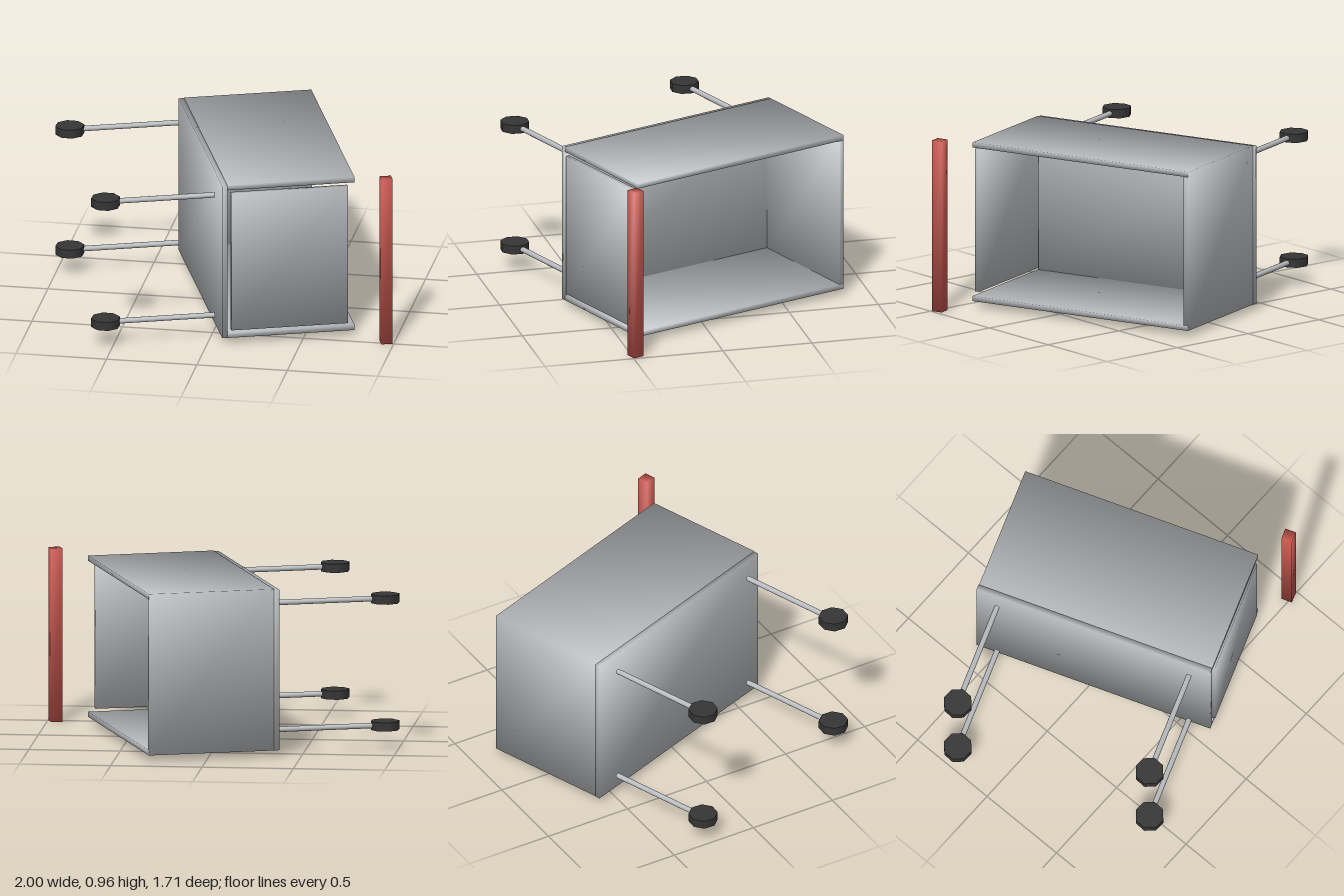
import * as THREE from 'three';

export function createModel() {
  const model = new THREE.Group();
  model.name = 'tippedCart';
  model.rotation.y = THREE.MathUtils.degToRad(20);

  const material = (name, color) => {
    const m = new THREE.MeshStandardMaterial({ color });
    m.name = name;
    return m;
  };
  const metal = material('light grey metal', 0xbabdc0);
  const rubber = material('dark rubber', 0x363636);
  const red = material('red handle', 0xc9574f);

  const add = (name, geometry, mat, x, y, z) => {
    const mesh = new THREE.Mesh(geometry, mat);
    mesh.name = name;
    mesh.position.set(x, y, z);
    model.add(mesh);
    return mesh;
  };

  // Box between two corners, with normals averaged at the corners for soft shading
  const softBox = (name, mat, x0, x1, y0, y1, z0, z1) => {
    const g = new THREE.BoxGeometry(x1 - x0, y1 - y0, z1 - z0);
    const p = g.attributes.position;
    const n = new THREE.Vector3();
    for (let i = 0; i < p.count; i++) {
      n.set(Math.sign(p.getX(i)), Math.sign(p.getY(i)), Math.sign(p.getZ(i))).normalize();
      g.attributes.normal.setXYZ(i, n.x, n.y, n.z);
    }
    return add(name, g, mat, (x0 + x1) / 2, (y0 + y1) / 2, (z0 + z1) / 2);
  };

  // Tray: floor, two long sides, and two end panels
  softBox('trayFloor', metal, -0.152, -0.123, 0.037, 0.922, -0.703, 0.658);
  softBox('upperSide', metal, -0.123, 0.58, 0.897, 0.926, -0.699, 0.658);
  softBox('lowerSide', metal, -0.123, 0.58, 0.036, 0.065, -0.699, 0.658);
  softBox('backPanel', metal, -0.123, 0.579, 0.038, 0.924, -0.7, -0.672);
  softBox('frontPanel', metal, -0.102, 0.542, 0.082, 0.879, 0.64, 0.667);

  // Legs, each with an octagonal wheel at its end
  const legGeometry = new THREE.CylinderGeometry(0.015, 0.015, 0.6, 12).rotateZ(Math.PI / 2);
  const wheelGeometry = new THREE.CylinderGeometry(0.08, 0.08, 0.048, 8);
  for (const y of [0.131, 0.831]) {
    for (const z of [-0.575, 0.543]) {
      add('leg', legGeometry, metal, -0.475, y, z);
      add('wheel', wheelGeometry, rubber, -0.777, y, z);
    }
  }

  // Separate push handle
  softBox('handle', red, 0.702, 0.764, 0, 0.957, 0.746, 0.808);

  return model;
}
